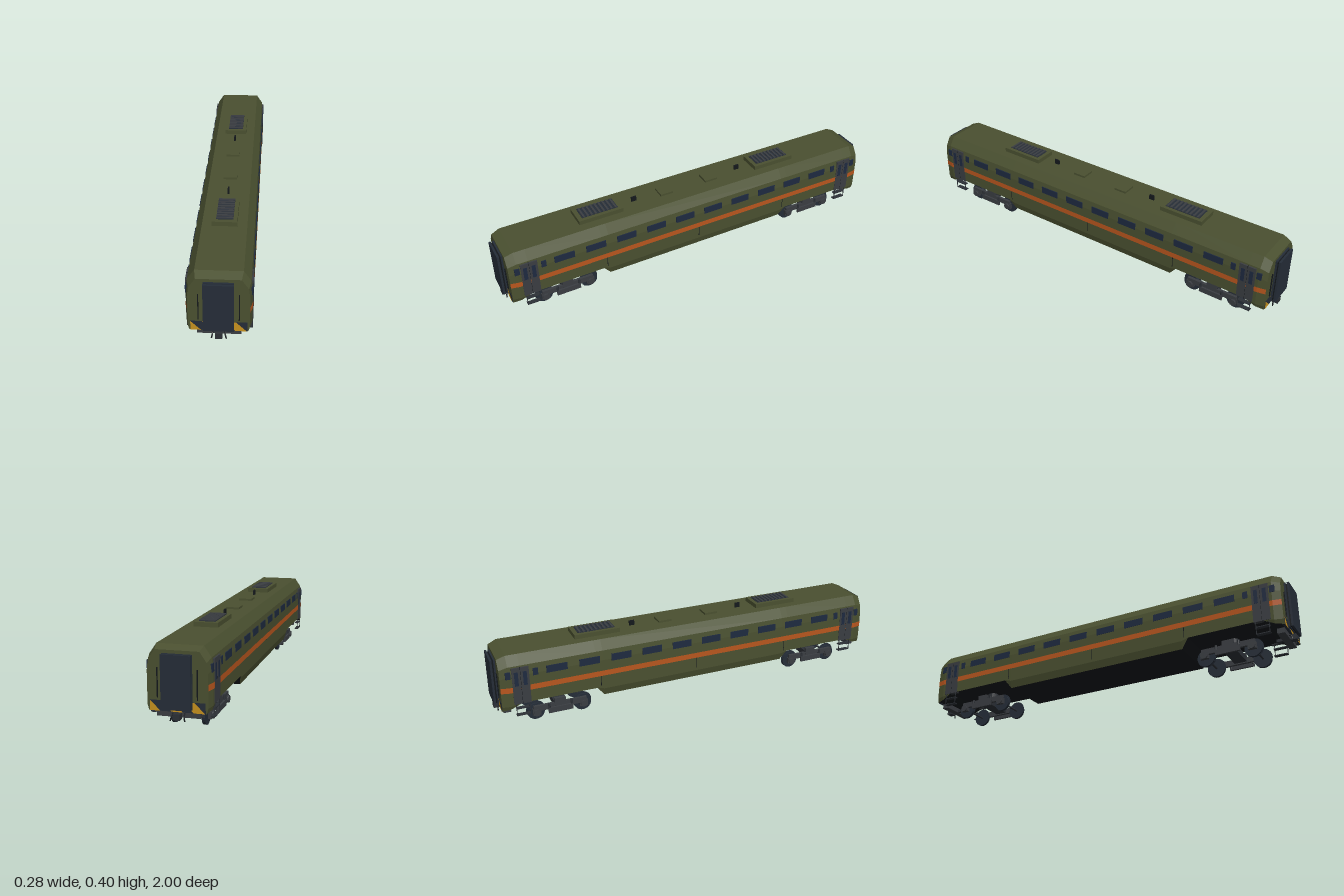
import * as THREE from 'three';

const mat = (color) => new THREE.MeshStandardMaterial({ color, flatShading: true });
const M = {
  olive: mat(0x4a5030), orange: mat(0xb8561e), glass: mat(0x1e2a40), dark: mat(0x14181c),
  rubber: mat(0x252d38), steel: mat(0x3a3d42), iron: mat(0x2c3036), yellow: mat(0xc8921e),
};

function add(parent, name, geo, material, x = 0, y = 0, z = 0) {
  const m = new THREE.Mesh(geo, material);
  m.name = name;
  m.position.set(x, y, z);
  parent.add(m);
  return m;
}
// Box given by its extents along each axis
function box(parent, name, material, [x0, x1], [y0, y1], [z0, z1]) {
  return add(parent, name, new THREE.BoxGeometry(x1 - x0, y1 - y0, z1 - z0), material,
    (x0 + x1) / 2, (y0 + y1) / 2, (z0 + z1) / 2);
}
// Wheel-like cylinder with its axis along x
function disc(parent, name, material, r, w, x, y, z, n = 20) {
  return add(parent, name, new THREE.CylinderGeometry(r, r, w, n).rotateZ(Math.PI / 2), material, x, y, z);
}
function fromTriangles(pos) {
  const g = new THREE.BufferGeometry();
  g.setAttribute('position', new THREE.Float32BufferAttribute(pos, 3));
  g.computeVertexNormals();
  return g;
}
// Skin between cross-sections ordered from front to back
function loft(sections) {
  const pos = [];
  for (let i = 0; i < sections.length - 1; i++) {
    const a = sections[i], b = sections[i + 1];
    for (let j = 0; j < a.length - 1; j++) {
      pos.push(...a[j], ...b[j], ...a[j + 1], ...b[j], ...b[j + 1], ...a[j + 1]);
    }
  }
  return fromTriangles(pos);
}

// Stations along the body: z, end taper (0..1), height of the lower edge
const half = [[0.975, 1, 0.1], [0.935, 0, 0.108], [0.88, 0, 0.135], [0.52, 0, 0.135], [0.485, 0, 0.088]];
const stations = [...half, ...half.slice().reverse().map(([z, t, b]) => [-z, t, b])];

function section([z, t, b]) {
  const low = Math.min(1, Math.max(0, (0.125 - b) / 0.039));
  const right = [[0.137 - 0.011 * low, b], [0.137, Math.max(0.125, b + 0.002)],
    [0.137, 0.276], [0.131, 0.323], [0.1, 0.369]];
  const taper = ([x, y]) => [x * (1 - 0.065 * t), y + (0.1 - y) * 0.06 * t, z];
  const r = right.map(taper);
  return [...r, ...r.slice().reverse().map(([x, y]) => [-x, y, z])];
}

function buildBody(g) {
  const skins = stations.map(section);
  add(g, 'bodyShell', loft(skins), M.olive);
  add(g, 'floor', loft(skins.map((s) => [s[s.length - 1], s[0]])), M.dark);
  // Waist stripe follows the tapered ends
  for (const s of [1, -1]) {
    const strip = stations.filter((st) => Math.abs(st[0]) > 0.92).map(([z, t]) => {
      const x = s * (0.1388 - 0.009 * t);
      const p = [[x, 0.195, z], [x, 0.222, z]];
      return s > 0 ? p : p.reverse();
    });
    add(g, 'waistStripe', loft(strip), M.orange);
  }
}

// Windows, doors, seams and steps on one side (+x)
function buildSide() {
  const g = new THREE.Group();
  g.name = 'sideFittings';
  for (let i = 0; i < 10; i++) {
    const z = (i - 4.5) * 0.1575;
    box(g, 'window', M.glass, [0.125, 0.1382], [0.265, 0.3], [z - 0.05, z + 0.05]);
  }
  for (const z of [0, 0.5, -0.5]) {
    box(g, 'panelSeam', M.dark, [0.13, 0.1374], [0.14, 0.195], [z - 0.0015, z + 0.0015]);
  }
  for (const s of [1, -1]) {
    const zc = s * 0.88;
    for (const z of [s * 0.81, s * 0.937]) {
      box(g, 'smallWindow', M.glass, [0.125, 0.1382], [0.265, 0.3], [z - 0.012, z + 0.012]);
    }
    for (const d of [-0.0205, 0.0205]) {
      const z = zc + d;
      box(g, 'doorLeaf', M.steel, [0.12, 0.1392], [0.132, 0.316], [z - 0.0197, z + 0.0197]);
      box(g, 'doorWindow', M.glass, [0.13, 0.14], [0.225, 0.295], [z - 0.009, z + 0.009]);
    }
    box(g, 'doorGap', M.dark, [0.12, 0.1388], [0.132, 0.316], [zc - 0.002, zc + 0.002]);
    // Hanging boarding steps
    for (const y of [0.07, 0.105]) {
      box(g, 'step', M.iron, [0.117, 0.138], [y, y + 0.004], [zc - 0.032, zc + 0.032]);
    }
    for (const d of [-0.031, 0.031]) {
      box(g, 'stepHanger', M.iron, [0.135, 0.138], [0.07, 0.14], [zc + d - 0.0015, zc + d + 0.0015]);
    }
  }
  return g;
}

// End wall with gangway, warning panel and coupler (faces +z)
function buildEnd() {
  const g = new THREE.Group();
  g.name = 'carEnd';
  const rim = section(stations[0]);
  const cap = [];
  for (let j = 1; j < rim.length - 1; j++) cap.push(...rim[0], ...rim[j], ...rim[j + 1]);
  add(g, 'endWall', fromTriangles(cap), M.olive);

  box(g, 'gangwayBellows', M.dark, [-0.058, 0.058], [0.118, 0.333], [0.965, 0.99]);
  for (const z of [0.978, 0.995]) {
    box(g, 'gangwayFrame', M.rubber, [-0.063, 0.063], [0.113, 0.339], [z - 0.005, z + 0.005]);
  }
  box(g, 'warningPanel', M.rubber, [-0.117, 0.117], [0.1, 0.144], [0.965, 0.9765]);
  // Diagonal hazard stripes, cut at the panel's edge
  for (const x of [-0.12, -0.026, 0.068]) {
    const pts = x < -0.1
      ? [[-0.117, 0.1], [-0.073, 0.1], [-0.117, 0.144]]
      : [[x, 0.1], [x + 0.047, 0.1], [x + 0.003, 0.144], [x - 0.044, 0.144]];
    const shape = new THREE.Shape(pts.map((p) => new THREE.Vector2(...p)));
    add(g, 'hazardStripe', new THREE.ShapeGeometry(shape), M.yellow, 0, 0, 0.9772);
  }
  box(g, 'bufferBeam', M.steel, [-0.092, 0.092], [0.075, 0.1], [0.93, 0.965]);
  box(g, 'couplerShank', M.iron, [-0.008, 0.008], [0.076, 0.09], [0.9, 0.975]);
  box(g, 'couplerHead', M.iron, [-0.015, 0.015], [0.07, 0.096], [0.966, 0.996]);
  for (const s of [1, -1]) {
    box(g, 'handrail', M.dark, [s * 0.084 - 0.002, s * 0.084 + 0.002], [0.155, 0.28], [0.973, 0.98]);
    const path = new THREE.CatmullRomCurve3([[0.025, 0.095, 0.96], [0.027, 0.078, 0.978], [0.031, 0.062, 0.98]]
      .map(([x, y, z]) => new THREE.Vector3(s * x, y, z)));
    add(g, 'brakeHose', new THREE.TubeGeometry(path, 8, 0.003, 6), M.dark);
  }
  return g;
}

function buildBogie() {
  const g = new THREE.Group();
  g.name = 'bogie';
  box(g, 'bolster', M.iron, [-0.09, 0.09], [0.055, 0.085], [-0.03, 0.03]);
  add(g, 'pivot', new THREE.CylinderGeometry(0.03, 0.03, 0.06, 16), M.iron, 0, 0.108, 0);
  for (const z of [0.115, -0.115]) {
    disc(g, 'axle', M.iron, 0.005, 0.15, 0, 0.043, z, 10);
    for (const s of [1, -1]) {
      disc(g, 'wheel', M.rubber, 0.042, 0.012, s * 0.069, 0.042, z, 24);
      disc(g, 'flange', M.rubber, 0.046, 0.004, s * 0.063, 0.046, z, 24);
      disc(g, 'axleBoxCover', M.steel, 0.017, 0.012, s * 0.097, 0.045, z, 12);
      box(g, 'axleBox', M.steel, [s * 0.088 - 0.008, s * 0.088 + 0.008], [0.03, 0.062], [z - 0.02, z + 0.02]);
    }
  }
  for (const s of [1, -1]) {
    const x = s * 0.088;
    box(g, 'sideFrame', M.steel, [x - 0.007, x + 0.007], [0.05, 0.078], [-0.13, 0.13]);
    box(g, 'airSpring', M.steel, [x - 0.008, x + 0.008], [0.05, 0.1], [-0.027, 0.027]);
    box(g, 'springBox', M.steel, [s * 0.099 - 0.005, s * 0.099 + 0.005], [0.032, 0.06], [-0.06, 0.06]);
    for (const z of [-0.055, 0.055]) {
      add(g, 'damper', new THREE.CylinderGeometry(0.006, 0.006, 0.04, 8), M.iron, s * 0.097, 0.062, z);
    }
  }
  return g;
}

// Roof equipment for one half (+z)
function buildRoof() {
  const g = new THREE.Group();
  g.name = 'roofEquipment';
  box(g, 'coolingUnit', M.olive, [-0.056, 0.056], [0.36, 0.39], [0.37, 0.595]);
  box(g, 'grilleBed', M.rubber, [-0.038, 0.038], [0.385, 0.392], [0.39, 0.573]);
  for (let i = 0; i < 9; i++) {
    const z = 0.4 + i * 0.0204;
    box(g, 'grilleSlat', M.steel, [-0.038, 0.038], [0.39, 0.396], [z - 0.005, z + 0.005]);
  }
  box(g, 'roofHatch', M.olive, [-0.033, 0.033], [0.365, 0.379], [0.092, 0.158]);
  box(g, 'antenna', M.dark, [-0.004, 0.004], [0.365, 0.393], [0.277, 0.303]);
  return g;
}

export function createModel() {
  const model = new THREE.Group();
  model.name = 'passengerCar';
  buildBody(model);
  for (const turn of [0, Math.PI]) {
    for (const build of [buildSide, buildEnd, buildRoof]) {
      const part = build();
      part.rotation.y = turn;
      model.add(part);
    }
    const bogie = buildBogie();
    bogie.position.z = turn ? -0.695 : 0.695;
    model.add(bogie);
  }
  return model;
}
